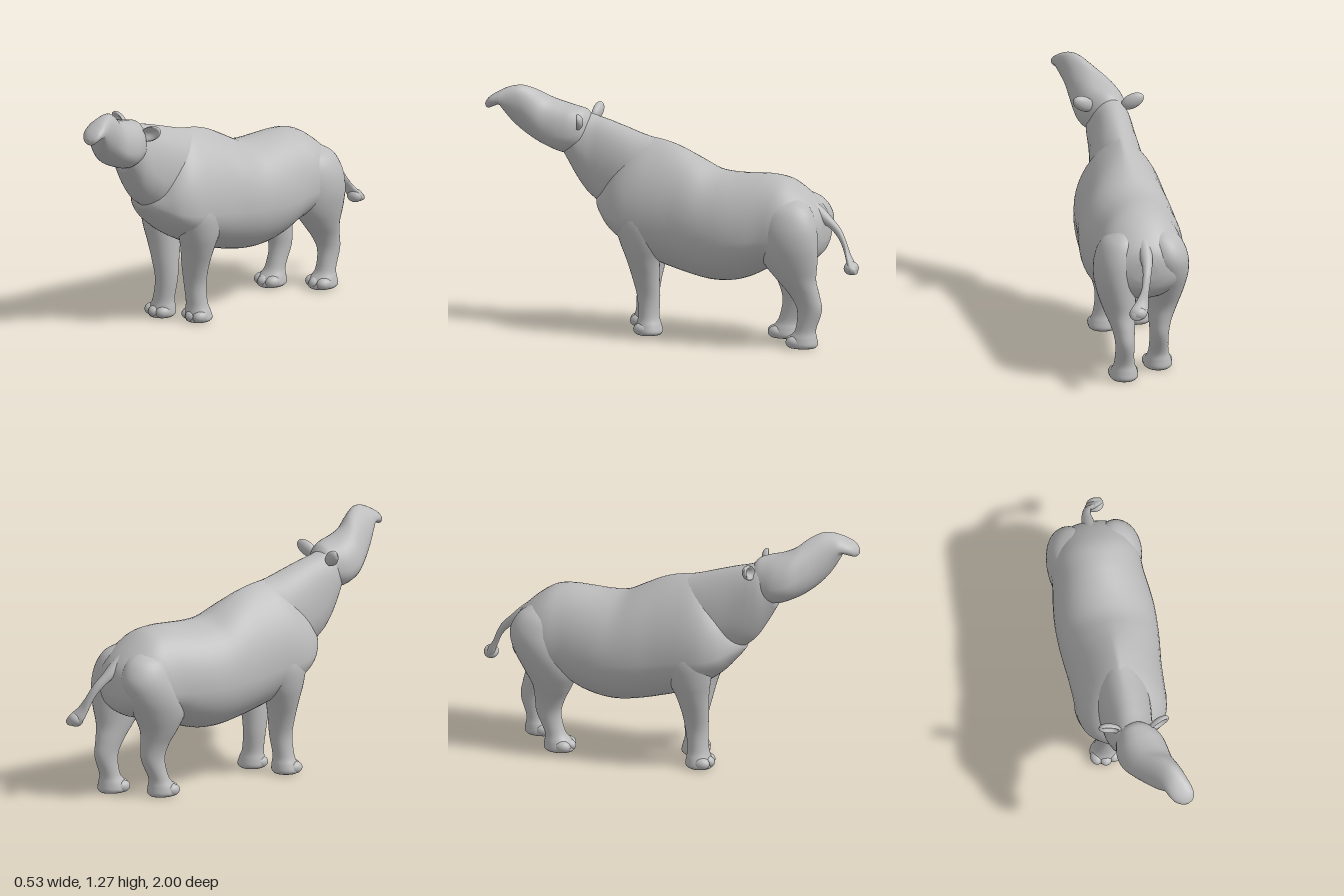
import * as THREE from 'three';

const hide = new THREE.MeshStandardMaterial({ color: 0xbcbcbc });
hide.name = 'grey hide';

// Smoothly resample rows of section numbers
function smoothRows(rows, sub) {
  const out = [];
  const n = rows.length;
  for (let i = 0; i < n - 1; i++) {
    const a = rows[Math.max(i - 1, 0)], b = rows[i], c = rows[i + 1], d = rows[Math.min(i + 2, n - 1)];
    for (let s = 0; s < sub; s++) {
      const t = s / sub;
      out.push(b.map((v, k) => v + 0.5 * t * (c[k] - a[k] +
        t * (2 * a[k] - 5 * v + 4 * c[k] - d[k] + t * (3 * (v - c[k]) + d[k] - a[k])))));
    }
  }
  out.push(rows[n - 1]);
  return out;
}

// Closed skin through rings; point(row, angle) gives each vertex
function loft(name, rows, point, sides = 40, sub = 4) {
  const rings = smoothRows(rows, sub);
  const pos = [], idx = [];
  for (const row of rings) {
    for (let j = 0; j < sides; j++) pos.push(...point(row, (j / sides) * Math.PI * 2));
  }
  const last = rings.length - 1;
  for (let i = 0; i < last; i++) {
    for (let j = 0; j < sides; j++) {
      const a = i * sides + j, b = i * sides + (j + 1) % sides;
      idx.push(a, b, a + sides, b, b + sides, a + sides);
    }
  }
  for (const end of [0, last]) {
    const p = point(rings[end], 0), q = point(rings[end], Math.PI);
    const centre = pos.length / 3;
    pos.push(...p.map((v, k) => (v + q[k]) / 2));
    for (let j = 0; j < sides; j++) {
      const a = end * sides + j, b = end * sides + (j + 1) % sides;
      if (end) idx.push(centre, a, b); else idx.push(centre, b, a);
    }
  }
  const g = new THREE.BufferGeometry();
  g.setAttribute('position', new THREE.Float32BufferAttribute(pos, 3));
  g.setIndex(idx);
  g.computeVertexNormals();
  const mesh = new THREE.Mesh(g, hide);
  mesh.name = name;
  return mesh;
}

// Row: z, x centre, top, bottom, height of widest point, half width, upper taper, sideways lean
function alongZ([z, xc, top, bottom, yw, hw, taper, lean], a) {
  const c = Math.cos(a), s = Math.sin(a);
  const w = s > 0 ? Math.sign(c) * Math.pow(Math.abs(c), taper) : c;
  const y = yw + s * (s > 0 ? top - yw : yw - bottom);
  return [xc + hw * w + lean * (y - yw), y, z];
}

// Row: y, x centre, z centre, half width, half depth
function alongY([y, xc, zc, hx, hz], a) {
  return [xc + hx * Math.cos(a), y, zc - hz * Math.sin(a)];
}

function blob(name, x, y, z, sx, sy, sz) {
  const m = new THREE.Mesh(new THREE.SphereGeometry(1, 24, 16), hide);
  m.name = name;
  m.position.set(x, y, z);
  m.scale.set(sx, sy, sz);
  return m;
}

// A leg with three toes; stride slides the foot along z, bend keeps the thigh forward with it
function leg(name, rows, side, stride, bend) {
  const g = new THREE.Group();
  g.name = name;
  const shift = y => stride * Math.max(0, 1 - Math.pow(y / 0.62, bend));
  g.add(loft(name + 'Limb', rows.map(([y, x, z, hx, hz]) => [y, x * side, z + shift(y), hx, hz]), alongY, 32));
  const [, fx, fz, , fd] = rows[1];
  [-1, 0, 1].forEach(k => g.add(blob('toe',
    side * fx + k * 0.044, 0.034, fz + shift(0) + fd * (k ? 0.36 : 0.55), 0.034, 0.032, 0.044)));
  return g;
}

// Cupped ear, hollowed on its front face
function ear(side, x, y, z, tilt, turn) {
  const geo = new THREE.SphereGeometry(1, 28, 20);
  const p = geo.attributes.position;
  for (let i = 0; i < p.count; i++) {
    const r = Math.hypot(p.getX(i), p.getY(i));
    if (p.getZ(i) > 0) p.setZ(i, p.getZ(i) * (1 - 1.5 * Math.max(0, 1 - r * r)));
  }
  geo.computeVertexNormals();
  const m = new THREE.Mesh(geo, hide);
  m.name = side > 0 ? 'leftEar' : 'rightEar';
  m.position.set(x, y, z);
  m.scale.set(0.064, 0.038, 0.028);
  m.rotation.set(0, turn, tilt);
  return m;
}

export function createModel() {
  const model = new THREE.Group();
  model.name = 'hornlessRhino';

  // Barrel body, rump to chest
  model.add(loft('body', [
    [-0.795, 0, 0.65, 0.55, 0.59, 0.06, 1, 0],
    [-0.77, 0, 0.715, 0.48, 0.58, 0.155, 1, 0],
    [-0.70, 0, 0.79, 0.43, 0.58, 0.21, 0.95, 0],
    [-0.60, 0, 0.86, 0.41, 0.58, 0.234, 0.95, 0],
    [-0.50, 0, 0.88, 0.39, 0.57, 0.24, 1, 0],
    [-0.40, 0, 0.877, 0.34, 0.56, 0.254, 1, 0],
    [-0.30, 0, 0.873, 0.31, 0.56, 0.263, 1, 0],
    [-0.20, 0, 0.885, 0.305, 0.56, 0.262, 1.05, 0],
    [-0.10, 0, 0.935, 0.32, 0.57, 0.255, 1.15, 0],
    [0, 0, 0.985, 0.345, 0.58, 0.245, 1.35, 0],
    [0.10, 0, 1.015, 0.375, 0.60, 0.24, 1.5, 0],
    [0.20, 0, 1.02, 0.425, 0.61, 0.236, 1.5, 0],
    [0.28, 0, 0.965, 0.47, 0.62, 0.225, 1.35, 0],
    [0.35, 0, 0.87, 0.525, 0.635, 0.192, 1.1, 0],
    [0.40, 0, 0.78, 0.58, 0.655, 0.14, 1, 0],
    [0.435, 0, 0.73, 0.622, 0.668, 0.088, 1, 0],
    [0.455, 0, 0.70, 0.65, 0.675, 0.04, 1, 0],
  ], alongZ, 48));

  // Neck
  model.add(loft('neck', [
    [0.05, 0, 0.995, 0.60, 0.80, 0.10, 1.1, 0],
    [0.20, 0, 1.032, 0.59, 0.80, 0.135, 1.2, 0],
    [0.30, 0, 1.063, 0.60, 0.80, 0.138, 1.1, 0],
    [0.40, 0, 1.093, 0.635, 0.82, 0.13, 1, 0],
    [0.46, 0, 1.108, 0.672, 0.86, 0.123, 0.95, 0],
    [0.51, 0.005, 1.122, 0.715, 0.92, 0.118, 0.95, 0],
    [0.56, 0.015, 1.13, 0.79, 0.97, 0.11, 1, 0],
    [0.62, 0.03, 1.10, 0.90, 1.0, 0.08, 1, 0],
  ], alongZ));

  // Head, swung to its left, with an overhanging upper lip
  model.add(loft('head', [
    [0.49, 0.02, 1.11, 0.96, 1.03, 0.06, 1, 0],
    [0.52, 0.025, 1.145, 0.935, 1.03, 0.095, 0.95, 0],
    [0.57, 0.032, 1.16, 0.92, 1.02, 0.12, 0.85, 0.05],
    [0.63, 0.038, 1.175, 0.915, 1.02, 0.132, 0.85, 0.05],
    [0.70, 0.052, 1.205, 0.94, 1.04, 0.127, 1, 0.1],
    [0.76, 0.082, 1.25, 0.97, 1.08, 0.108, 1.15, 0.2],
    [0.82, 0.118, 1.275, 1.015, 1.13, 0.086, 1.05, 0.25],
    [0.87, 0.148, 1.27, 1.07, 1.17, 0.075, 0.9, 0.25],
    [0.905, 0.168, 1.258, 1.13, 1.195, 0.071, 0.85, 0.2],
    [0.925, 0.178, 1.248, 1.17, 1.20, 0.069, 0.85, 0.15],
    [0.96, 0.19, 1.228, 1.162, 1.195, 0.062, 0.85, 0.1],
    [0.985, 0.197, 1.208, 1.152, 1.182, 0.046, 1, 0],
    [1.0, 0.20, 1.187, 1.162, 1.175, 0.018, 1, 0],
  ], alongZ));

  // Ears
  model.add(ear(-1, -0.11, 1.107, 0.508, -0.5, -0.1));
  model.add(ear(1, 0.143, 1.10, 0.518, 0.45, 0.35));

  // Legs
  const front = [
    [0.004, 0.093, 0.145, 0.062, 0.062],
    [0.02, 0.093, 0.143, 0.076, 0.07],
    [0.055, 0.09, 0.145, 0.07, 0.064],
    [0.10, 0.085, 0.148, 0.058, 0.055],
    [0.20, 0.077, 0.152, 0.058, 0.06],
    [0.30, 0.09, 0.162, 0.071, 0.071],
    [0.40, 0.112, 0.168, 0.088, 0.087],
    [0.50, 0.13, 0.17, 0.10, 0.117],
    [0.62, 0.135, 0.18, 0.102, 0.135],
    [0.74, 0.11, 0.175, 0.075, 0.10],
    [0.80, 0.09, 0.175, 0.02, 0.03],
  ];
  const hind = [
    [0.004, 0.10, -0.705, 0.06, 0.072],
    [0.02, 0.10, -0.705, 0.074, 0.082],
    [0.055, 0.10, -0.71, 0.067, 0.072],
    [0.10, 0.10, -0.725, 0.052, 0.054],
    [0.20, 0.10, -0.745, 0.049, 0.066],
    [0.28, 0.105, -0.72, 0.06, 0.08],
    [0.36, 0.118, -0.68, 0.08, 0.105],
    [0.45, 0.13, -0.65, 0.10, 0.145],
    [0.55, 0.136, -0.64, 0.113, 0.16],
    [0.65, 0.128, -0.637, 0.113, 0.15],
    [0.74, 0.11, -0.632, 0.087, 0.112],
    [0.79, 0.09, -0.63, 0.02, 0.03],
  ];
  model.add(leg('leftFrontLeg', front, 1, 0, 1));
  model.add(leg('rightFrontLeg', front, -1, 0.09, 1));
  model.add(leg('leftHindLeg', hind, 1, 0, 1));
  model.add(leg('rightHindLeg', hind, -1, 0.175, 2));

  // Tail with a tufted tip
  model.add(loft('tail', [
    [-0.995, 0.075, 0.44, 0.405, 0.42, 0.022, 1, 0],
    [-0.965, 0.06, 0.47, 0.40, 0.435, 0.046, 1, 0],
    [-0.94, 0.04, 0.505, 0.425, 0.465, 0.036, 1, 0],
    [-0.915, 0.02, 0.56, 0.48, 0.52, 0.021, 1, 0],
    [-0.88, 0.005, 0.62, 0.555, 0.588, 0.021, 1, 0],
    [-0.83, -0.005, 0.67, 0.61, 0.64, 0.026, 1, 0],
    [-0.78, -0.005, 0.72, 0.64, 0.68, 0.034, 1, 0],
    [-0.72, 0, 0.77, 0.66, 0.71, 0.04, 1, 0],
  ], alongZ, 20));
  model.add(blob('tailTuft', 0.06, 0.432, -0.96, 0.045, 0.035, 0.038));

  return model;
}
